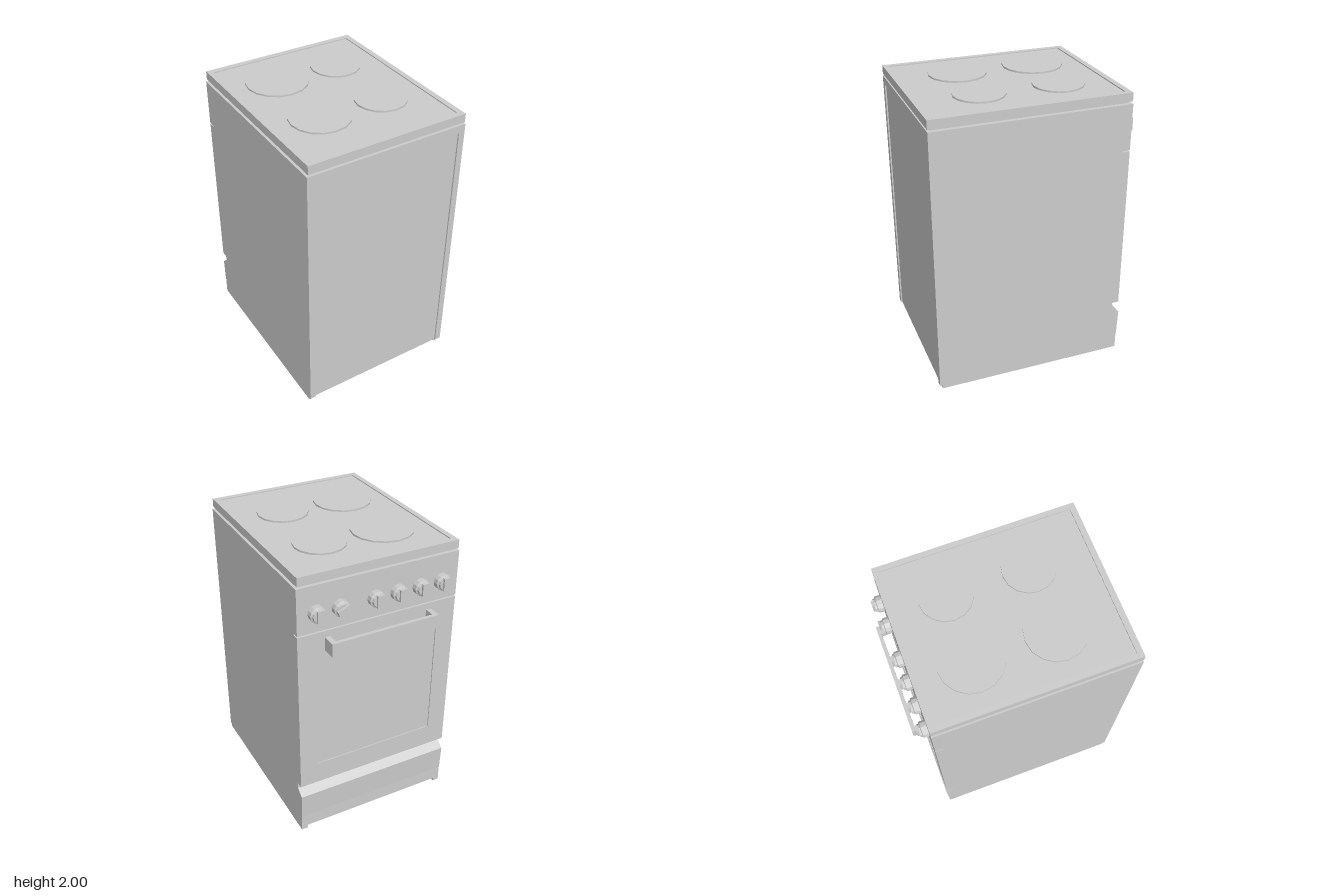
import * as THREE from 'three';

const material = new THREE.MeshStandardMaterial({ color: 0xcccccc });

function add(parent, name, geometry, x = 0, y = 0, z = 0) {
  const mesh = new THREE.Mesh(geometry, material);
  mesh.name = name;
  mesh.position.set(x, y, z);
  parent.add(mesh);
  return mesh;
}

// Box given by its limits on each axis
function block(parent, name, [x0, x1], [y0, y1], [z0, z1]) {
  return add(parent, name, new THREE.BoxGeometry(x1 - x0, y1 - y0, z1 - z0),
    (x0 + x1) / 2, (y0 + y1) / 2, (z0 + z1) / 2);
}

// Side profile of [z, y] points, extruded across the width
function extrudeAcross(profile, width) {
  const shape = new THREE.Shape(profile.map(([z, y]) => new THREE.Vector2(z, y)));
  return new THREE.ExtrudeGeometry(shape, { depth: width, bevelEnabled: false })
    .translate(0, 0, -width / 2).rotateY(-Math.PI / 2);
}

function rectangle(Type, x0, x1, y0, y1) {
  return new Type([[x0, y0], [x1, y0], [x1, y1], [x0, y1]].map(p => new THREE.Vector2(...p)));
}

// Rectangular frame in the XY plane, starting at z = 0
function frame(outer, inner, depth) {
  const shape = rectangle(THREE.Shape, ...outer);
  shape.holes.push(rectangle(THREE.Path, ...inner));
  return new THREE.ExtrudeGeometry(shape, { depth, bevelEnabled: false });
}

function makeKnob(turn) {
  const knob = new THREE.Group();
  knob.name = 'knob';
  const profile = [[0.055, 0], [0.055, 0.037], [0.045, 0.042], [0.042, 0.056], [0, 0.056]]
    .map(p => new THREE.Vector2(...p));
  const dial = new THREE.LatheGeometry(profile, 12).toNonIndexed();
  dial.computeVertexNormals();
  add(knob, 'knobDial', dial.rotateX(-Math.PI / 2));
  add(knob, 'knobGrip', new THREE.BoxGeometry(0.04, 0.085, 0.02), 0, 0, -0.06);
  knob.rotation.z = turn;
  return knob;
}

export function createModel() {
  const cooker = new THREE.Group();
  cooker.name = 'cooker';

  // Cabinet with overhanging control panel and plinth
  add(cooker, 'cabinet', extrudeAcross([
    [0.72, 0.025], [0.72, 1.92], [-0.635, 1.92], [-0.635, 1.6],
    [-0.585, 1.6], [-0.585, 0.125], [-0.632, 0.125], [-0.632, 0.025],
  ], 1.15));

  // Raised border round the back panel
  block(cooker, 'backTopBorder', [-0.575, 0.575], [1.865, 1.92], [0.72, 0.73]);
  for (const side of [-1, 1]) {
    const limits = (a, b) => [Math.min(side * a, side * b), Math.max(side * a, side * b)];
    block(cooker, 'backSideBorder', limits(0.53, 0.575), [0.025, 1.865], [0.72, 0.73]);
    block(cooker, 'runner', limits(0.53, 0.575), [0, 0.025], [-0.632, 0.71]);
  }

  // Hob: neck, plate, raised rim and four hot plates
  block(cooker, 'hobNeck', [-0.545, 0.545], [1.92, 1.94], [-0.61, 0.705]);
  block(cooker, 'hobPlate', [-0.54, 0.54], [1.94, 1.988], [-0.605, 0.7]);
  const rim = frame([-0.568, 0.568, -0.73, 0.635], [-0.53, 0.53, -0.69, 0.595], 0.06);
  add(cooker, 'hobRim', rim.rotateX(-Math.PI / 2), 0, 1.935, 0);
  for (const [x, z, r] of [
    [-0.225, -0.26, 0.212], [0.23, -0.26, 0.175],
    [-0.225, 0.29, 0.202], [0.23, 0.29, 0.175],
  ]) {
    add(cooker, 'hotPlate', new THREE.CylinderGeometry(r, r, 0.014, 16), x, 1.993, z);
  }

  // Oven door with a slightly sunken window
  add(cooker, 'doorFrame',
    frame([-0.575, 0.575, 0.4, 1.59], [-0.44, 0.44, 0.56, 1.45], 0.05), 0, 0, -0.635);
  block(cooker, 'doorWindow', [-0.45, 0.45], [0.55, 1.46], [-0.628, -0.585]);

  // Door handle
  block(cooker, 'handleBar', [-0.388, 0.385], [1.45, 1.545], [-0.73, -0.705]);
  for (const x of [-0.37, 0.367]) {
    block(cooker, 'handlePost', [x - 0.018, x + 0.018], [1.45, 1.545], [-0.706, -0.63]);
  }

  // Storage drawer with a sloping top edge
  add(cooker, 'drawer', extrudeAcross([
    [-0.585, 0.125], [-0.585, 0.355], [-0.642, 0.31], [-0.635, 0.125],
  ], 1.15));

  // Control knobs, one of them turned
  for (const x of [-0.45, -0.29, -0.127, 0.037, 0.285, 0.447]) {
    const knob = makeKnob(x === 0.285 ? 1.2 : 0);
    knob.position.set(x, 1.735, -0.635);
    cooker.add(knob);
  }

  return cooker;
}
